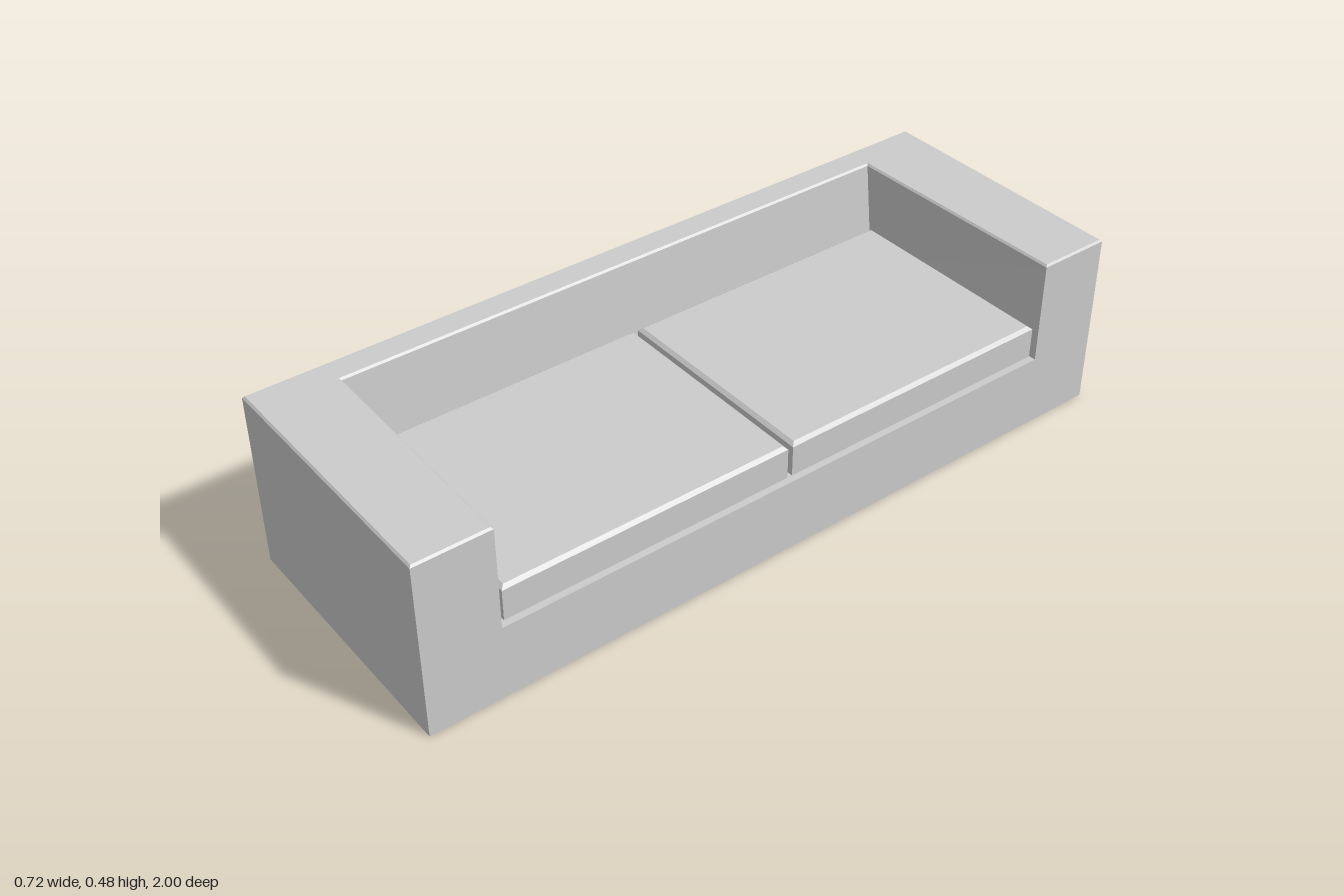
import * as THREE from 'three';

// Closed solid lofted through rings of [x, y, z], listed bottom to top,
// each ring running counter-clockwise as seen from above.
function loft(rings) {
  const out = [];
  const tri = (a, b, c) => {
    const t = new THREE.Triangle(...[a, b, c].map(p => new THREE.Vector3(...p)));
    if (t.getArea() > 1e-7) out.push(...a, ...b, ...c);
  };
  for (let r = 0; r < rings.length - 1; r++) {
    const lo = rings[r], hi = rings[r + 1], n = lo.length;
    for (let i = 0; i < n; i++) {
      const j = (i + 1) % n;
      tri(lo[i], lo[j], hi[j]);
      tri(lo[i], hi[j], hi[i]);
    }
  }
  const cap = (ring, flip) => {
    const flat = ring.map(p => new THREE.Vector2(p[0], -p[2]));
    for (const [a, b, c] of THREE.ShapeUtils.triangulateShape(flat, [])) {
      if (flip) tri(ring[a], ring[c], ring[b]);
      else tri(ring[a], ring[b], ring[c]);
    }
  };
  cap(rings[0], true);
  cap(rings[rings.length - 1], false);
  const g = new THREE.BufferGeometry();
  g.setAttribute('position', new THREE.Float32BufferAttribute(out, 3));
  g.computeVertexNormals();
  return g;
}

// U-shaped plan of the frame, open towards +x; backX and backZ place the inner corners
function framePlan(y, backX, backZ, inset = 0) {
  const f = 0.36 - inset, e = 1 - inset, armZ = 0.802 + inset;
  return [
    [f, y, e], [f, y, armZ], [backX, y, backZ], [backX, y, -backZ],
    [f, y, -armZ], [f, y, -e], [-f, y, -e], [-f, y, e],
  ];
}

function rectPlan(y, x0, x1, z0, z1, inset) {
  x0 += inset; x1 -= inset; z0 += inset; z1 -= inset;
  return [[x1, y, z1], [x1, y, z0], [x0, y, z0], [x0, y, z1]];
}

export function createModel() {
  const sofa = new THREE.Group();
  sofa.name = 'sofa';
  const material = new THREE.MeshStandardMaterial({ color: 0xcccccc, flatShading: true });
  const add = (name, geometry) => {
    const mesh = new THREE.Mesh(geometry, material);
    mesh.name = name;
    sofa.add(mesh);
  };

  // Base, seat deck, arms and leaning back in one shell with a chamfered top edge
  add('frame', loft([
    framePlan(0, 0.36, 0.802),
    framePlan(0.2, 0.36, 0.802),
    framePlan(0.2, -0.255, 0.797),
    framePlan(0.475, -0.283, 0.792),
    framePlan(0.48, -0.288, 0.797, 0.005),
  ]));

  // Two seat cushions with chamfered edges
  for (const side of [1, -1]) {
    const z0 = side > 0 ? 0.007 : -0.79, z1 = side > 0 ? 0.79 : -0.007;
    const ring = (y, inset) => rectPlan(y, -0.252, 0.35, z0, z1, inset);
    add(side > 0 ? 'seatCushionNear' : 'seatCushionFar',
      loft([ring(0.201, 0.008), ring(0.209, 0), ring(0.292, 0), ring(0.3, 0.01)]));
  }
  return sofa;
}
